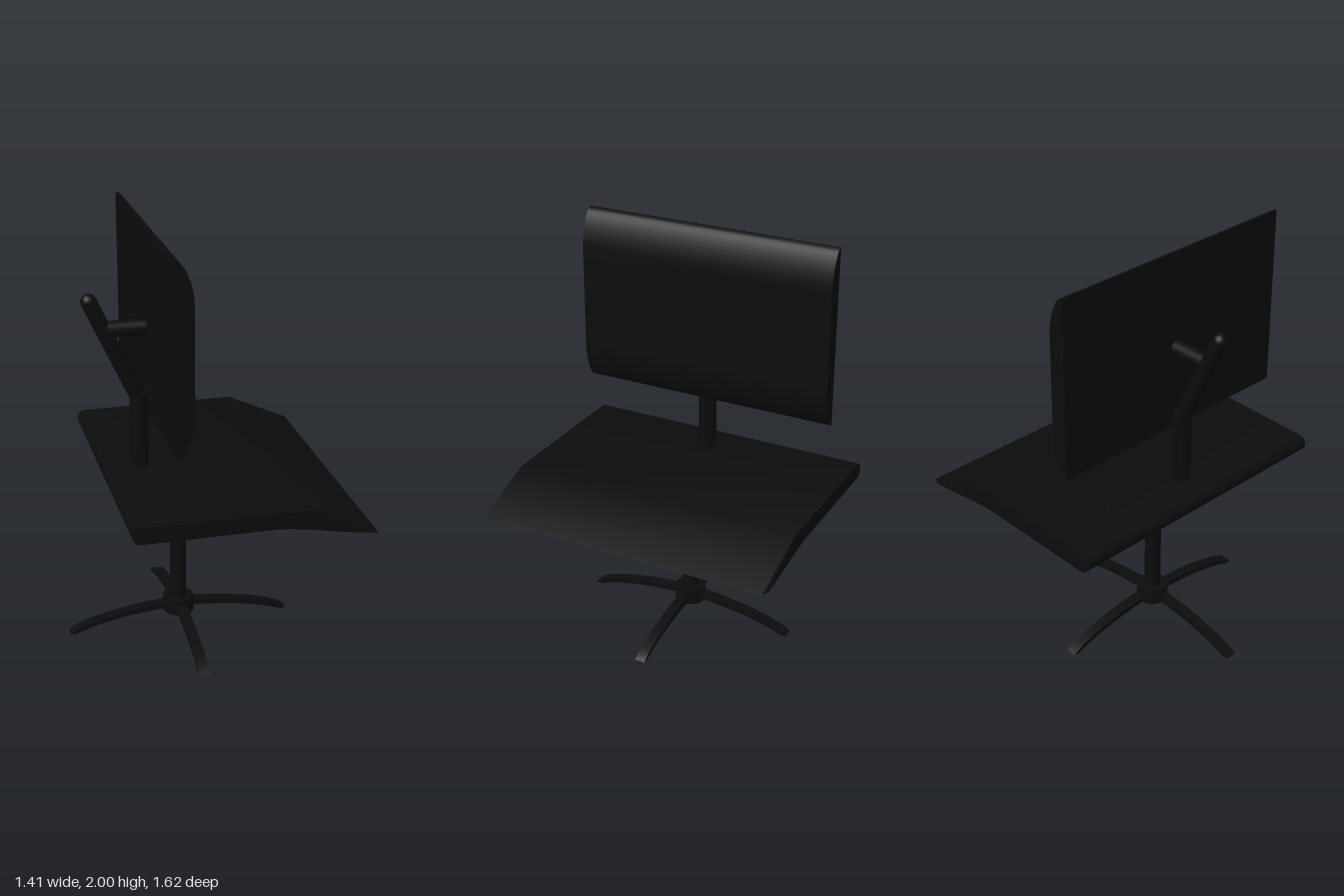
import * as THREE from 'three';
import { toCreasedNormals } from 'three/addons/utils/BufferGeometryUtils.js';

export function createModel() {
  const root = new THREE.Group();
  root.name = 'deskWithMonitor';
  // the whole desk stands turned ten degrees
  root.rotation.y = -THREE.MathUtils.degToRad(10);
  const black = new THREE.MeshStandardMaterial({ color: 0x0c0c0c });
  black.name = 'black';

  const add = (name, geometry, x = 0, y = 0, z = 0, parent = root) => {
    const mesh = new THREE.Mesh(geometry, black);
    mesh.name = name;
    mesh.position.set(x, y, z);
    parent.add(mesh);
    return mesh;
  };
  // side profile pulled from z0 to z1
  const slab = (shape, z0, z1) => {
    const g = new THREE.ExtrudeGeometry(shape, { depth: z1 - z0, bevelEnabled: false, curveSegments: 14 });
    g.translate(0, 0, z0);
    return g;
  };
  const smooth = (g) => toCreasedNormals(g, 0.5);
  const post = (name, r, y0, y1, x, z) =>
    add(name, new THREE.CylinderGeometry(r, r, y1 - y0, 32), x, (y0 + y1) / 2, z);

  // desk top: rounded back edge, sloping front with a curved underside
  const top = new THREE.Shape();
  top.moveTo(-0.485, 0.78);
  top.lineTo(0.1, 0.78);
  top.bezierCurveTo(0.25, 0.78, 0.4, 0.735, 0.585, 0.722);
  top.lineTo(0.28, 0.858);
  top.lineTo(-0.485, 0.858);
  top.absarc(-0.485, 0.819, 0.039, Math.PI / 2, Math.PI * 1.5, false);
  const topGeo = slab(top, -0.73, 0.69);
  // the left side flares slightly towards the front
  const p = topGeo.attributes.position;
  for (let i = 0; i < p.count; i++) {
    const t = THREE.MathUtils.clamp((p.getX(i) - 0.15) / 0.43, 0, 1);
    if (p.getZ(i) > 0) p.setZ(i, p.getZ(i) + 0.028 * t);
    else if (t > 0.99) p.setZ(i, p.getZ(i) + 0.015);
  }
  add('deskTop', smooth(topGeo));

  // monitor: flat back, front rounded off at top and bottom
  const screen = new THREE.Shape();
  screen.moveTo(-0.312, 1.13);
  screen.lineTo(-0.308, 1.13);
  screen.bezierCurveTo(-0.27, 1.13, -0.23, 1.24, -0.23, 1.32);
  screen.lineTo(-0.23, 1.81);
  screen.bezierCurveTo(-0.23, 1.89, -0.27, 2, -0.308, 2);
  screen.lineTo(-0.312, 2);
  add('monitor', smooth(slab(screen, -0.65, 0.625)));

  // monitor stand: upright, slanted arm and bracket
  post('monitorPost', 0.043, 0.84, 1.22, -0.35, 0.012);
  const a = new THREE.Vector2(-0.355, 1.2), b = new THREE.Vector2(-0.568, 1.667);
  const arm = add('monitorArm', new THREE.CapsuleGeometry(0.037, a.distanceTo(b), 8, 24),
    (a.x + b.x) / 2, (a.y + b.y) / 2, 0.008);
  arm.rotation.z = Math.atan2(a.x - b.x, b.y - a.y);
  const bracket = add('monitorBracket', new THREE.CylinderGeometry(0.039, 0.039, 0.18, 24), -0.4, 1.53, 0.008);
  bracket.rotation.z = Math.PI / 2;

  // pedestal
  const cx = -0.171, cz = 0.01;
  post('collar', 0.094, 0.59, 0.79, cx, cz);
  post('column', 0.039, 0.1, 0.6, cx, cz);
  post('hub', 0.075, 0.06, 0.138, cx, cz);

  // four arched feet
  const foot = new THREE.Shape();
  foot.moveTo(0.03, 0.085);
  foot.bezierCurveTo(0.2, 0.08, 0.4, 0.05, 0.515, 0);
  foot.lineTo(0.543, 0.002);
  foot.bezierCurveTo(0.5, 0.05, 0.25, 0.105, 0.03, 0.113);
  const footGeo = smooth(slab(foot, -0.026, 0.026));
  for (let i = 0; i < 4; i++) {
    add('foot', footGeo, cx, 0, cz).rotation.y = i * Math.PI / 2;
  }

  const model = new THREE.Group();
  model.name = 'model';
  model.add(root);
  return model;
}
